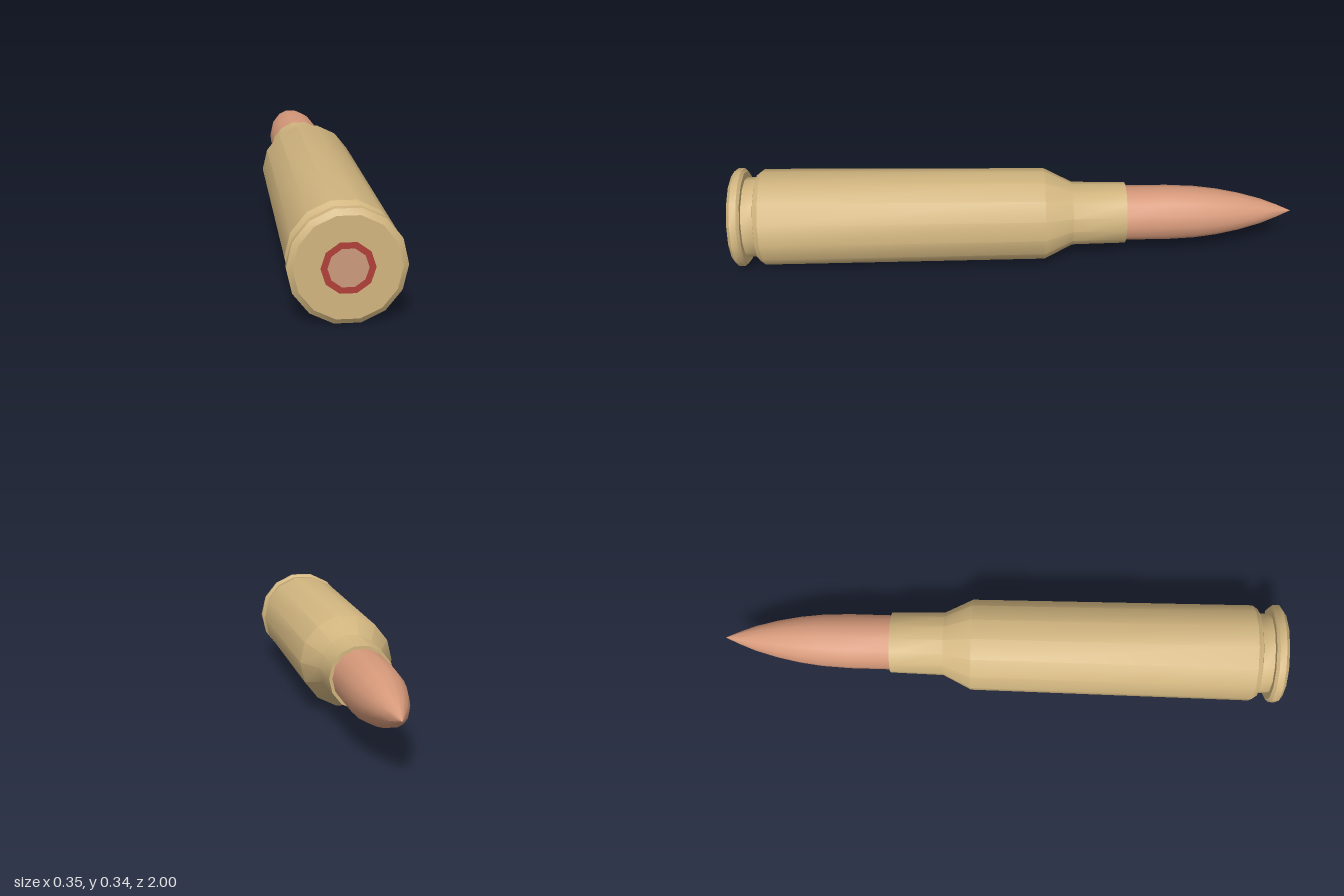
import * as THREE from 'three';
import { toCreasedNormals } from 'three/addons/utils/BufferGeometryUtils.js';

const SIDES = 14;
const AXIS_HEIGHT = 0.172;

const brass = new THREE.MeshStandardMaterial({ color: 0xd1b57f });
const copper = new THREE.MeshStandardMaterial({ color: 0xd6997a });
const red = new THREE.MeshStandardMaterial({ color: 0xb04038 });
const primerCopper = new THREE.MeshStandardMaterial({ color: 0xcc9a7c });

// Turned part: profile is [radius, distance along the axis], base to tip
function turned(name, profile, material) {
  const points = profile.map(([r, a]) => new THREE.Vector2(r, a));
  const lathe = new THREE.LatheGeometry(points, SIDES, Math.PI / 2);
  const mesh = new THREE.Mesh(toCreasedNormals(lathe, Math.PI / 6), material);
  mesh.name = name;
  mesh.rotation.x = -Math.PI / 2; // base faces +z, tip faces -z
  return mesh;
}

// Flat part on the base, facing +z
function flat(name, geometry, z, material) {
  const mesh = new THREE.Mesh(geometry, material);
  mesh.name = name;
  mesh.position.z = z;
  return mesh;
}

export function createModel() {
  const model = new THREE.Group();
  model.name = 'cartridge';

  // Case: base, rim, extractor groove, body, shoulder, neck and mouth
  const cartridgeCase = turned('case', [
    [0, -0.998], [0.158, -0.998],
    [0.176, -0.985], [0.176, -0.962], [0.167, -0.952],
    [0.143, -0.952], [0.143, -0.912],
    [0.159, -0.908], [0.172, -0.89],
    [0.163, 0.11], [0.113, 0.21],
    [0.109, 0.4], [0.097, 0.4],
  ], brass);

  // Pointed bullet seated in the neck
  const bullet = turned('bullet', [
    [0.098, 0.36], [0.098, 0.55], [0.093, 0.65], [0.083, 0.73],
    [0.067, 0.81], [0.045, 0.89], [0.022, 0.95], [0, 1],
  ], copper);

  // Primer with its sealant ring
  const sealant = flat('primerSealant', new THREE.RingGeometry(0.06, 0.08, 10), 0.9995, red);
  const primer = flat('primer', new THREE.CircleGeometry(0.06, 10), 1, primerCopper);

  model.add(cartridgeCase, bullet, sealant, primer);
  for (const part of model.children) part.position.y = AXIS_HEIGHT;
  return model;
}
